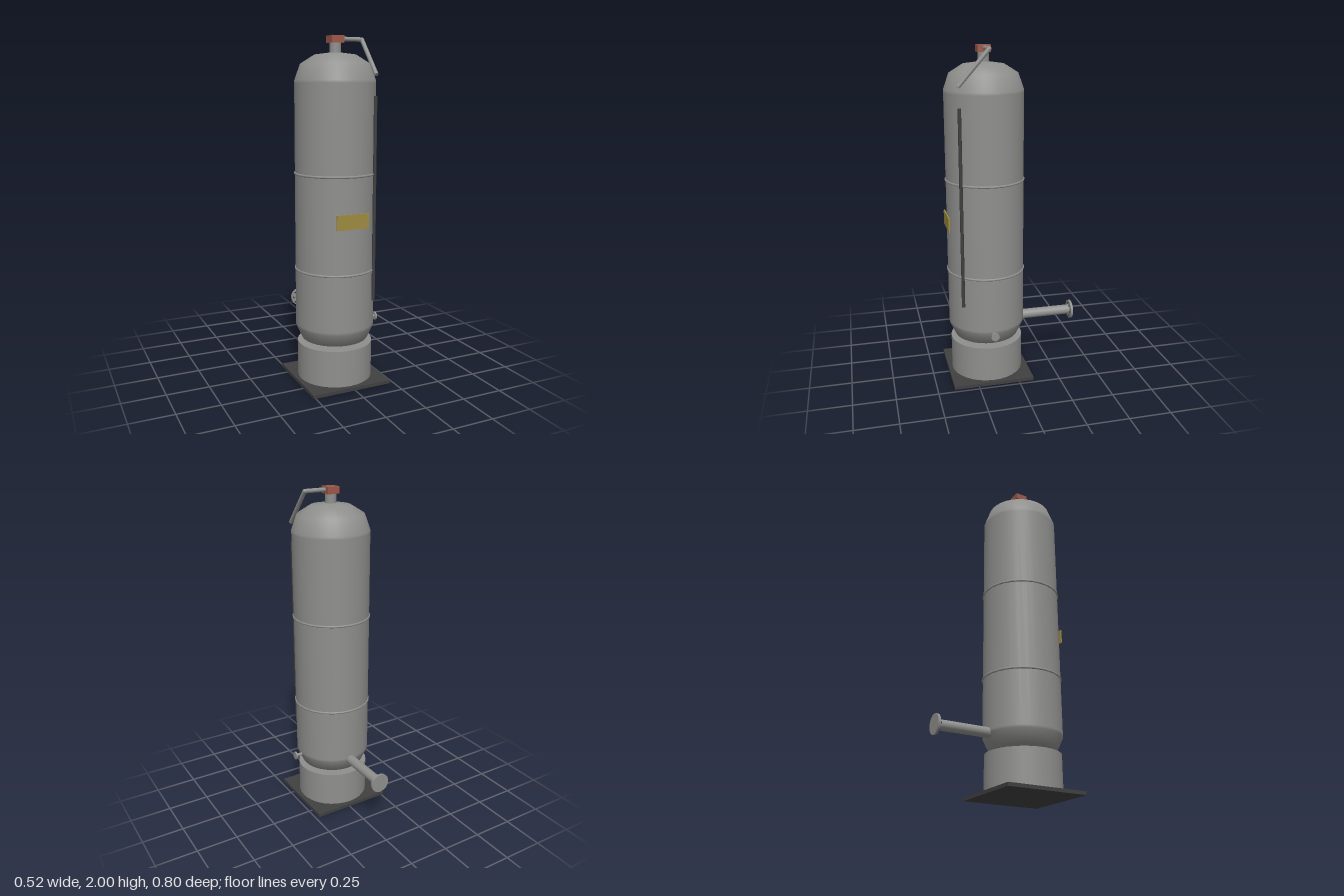
import * as THREE from 'three';

const CX = -0.017, CZ = 0.155; // vertical axis of the vessel

function material(name, color) {
  const m = new THREE.MeshStandardMaterial({ color });
  m.name = name;
  return m;
}

export function createModel() {
  const root = new THREE.Group();
  root.name = 'pressureVessel';
  const steel = material('grey steel', 0x8f908e);
  const dark = material('dark steel', 0x404040);
  const red = material('red valve', 0x9c5848);
  const yellow = material('yellow plate', 0x9e8b40);

  function add(name, geometry, mat, x = 0, y = 0, z = 0, parent = root) {
    const mesh = new THREE.Mesh(geometry, mat);
    mesh.name = name;
    mesh.position.set(x, y, z);
    parent.add(mesh);
    return mesh;
  }

  // Cylinder running between two points
  function rod(name, from, to, radius, mat = steel, sides = 16) {
    const a = new THREE.Vector3(...from), b = new THREE.Vector3(...to);
    const dir = b.clone().sub(a);
    const mesh = add(name, new THREE.CylinderGeometry(radius, radius, dir.length(), sides), mat);
    mesh.position.copy(a).add(b).multiplyScalar(0.5);
    mesh.quaternion.setFromUnitVectors(new THREE.Vector3(0, 1, 0), dir.normalize());
    return mesh;
  }

  // Base plate and skirt
  add('basePlate', new THREE.BoxGeometry(0.49, 0.02, 0.49), dark, CX, 0.01, CZ);
  add('skirt', new THREE.CylinderGeometry(0.22, 0.22, 0.215, 32), steel, CX, 0.1275, CZ);

  // Vessel shell with domed ends
  const profile = [
    [0, 0.225], [0.125, 0.234], [0.195, 0.258], [0.23, 0.334], [0.23, 0.35],
    [0.23, 1.74], [0.23, 1.755], [0.197, 1.847], [0.118, 1.896], [0, 1.912],
  ].map(([r, y]) => new THREE.Vector2(r, y));
  add('vesselShell', new THREE.LatheGeometry(profile, 32), steel, CX, 0, CZ);

  // Weld rings
  for (const y of [0.68, 1.235]) {
    const ring = add('weldRing', new THREE.TorusGeometry(0.23, 0.007, 8, 24), steel, CX, y, CZ);
    ring.rotation.x = Math.PI / 2;
  }

  // Top neck, relief valve and bent discharge pipe
  rod('topNeck', [CX, 1.89, CZ], [CX, 1.965, CZ], 0.033);
  add('reliefValve', new THREE.BoxGeometry(0.076, 0.04, 0.076), red, CX, 1.98, CZ);
  rod('dischargePipe', [CX, 1.983, CZ], [0.15, 1.983, CZ], 0.0125);
  add('pipeElbow', new THREE.SphereGeometry(0.0125, 12, 8), steel, 0.15, 1.983, CZ);
  rod('dischargeTail', [0.15, 1.983, CZ], [0.15, 1.785, 0.33], 0.0125);

  // Upright conduit and nameplate
  rod('conduit', [0.15, 0.5, 0.324], [0.15, 1.67, 0.324], 0.01, dark, 10);
  add('nameplate', new THREE.BoxGeometry(0.196, 0.085, 0.008), yellow, CX, 0.987, 0.386);

  // Side drain with flange
  rod('drainPipe', [0.17, 0.335, CZ], [0.252, 0.335, CZ], 0.01, steel, 12);
  rod('drainFlange', [0.25, 0.335, CZ], [0.26, 0.335, CZ], 0.025);

  // Rear outlet with bolted flange
  rod('outletPipe', [CX, 0.337, 0.0], [CX, 0.337, -0.39], 0.03, steel, 20);
  rod('outletFlange', [CX, 0.337, -0.386], [CX, 0.337, -0.4], 0.058, steel, 24);
  for (let i = 0; i < 8; i++) {
    const a = i * Math.PI / 4;
    const x = CX + 0.045 * Math.cos(a), y = 0.337 + 0.045 * Math.sin(a);
    rod('flangeBolt', [x, y, -0.39], [x, y, -0.378], 0.006, dark, 6);
  }

  return root;
}
